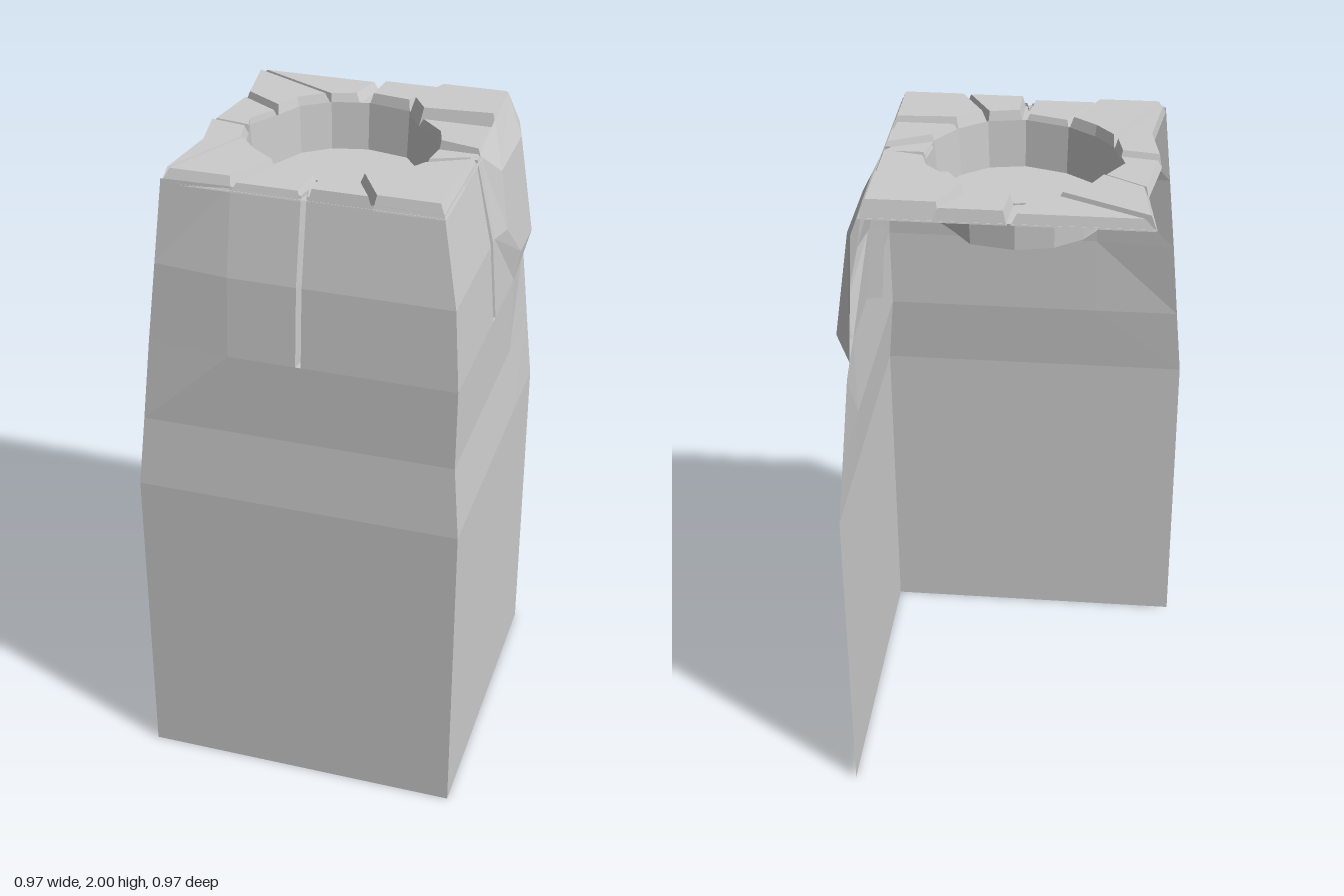
import * as THREE from 'three';

const material = new THREE.MeshStandardMaterial({ color: 0xcccccc, flatShading: true, side: THREE.DoubleSide });

// Mesh from a list of polygons, each cut into a fan of triangles
function facets(name, polygons) {
  const pos = [];
  for (const p of polygons) {
    for (let i = 1; i < p.length - 1; i++) pos.push(...p[0], ...p[i], ...p[i + 1]);
  }
  const g = new THREE.BufferGeometry();
  g.setAttribute('position', new THREE.Float32BufferAttribute(pos, 3));
  g.computeVertexNormals();
  const mesh = new THREE.Mesh(g, material);
  mesh.name = name;
  return mesh;
}

// Quads between neighbouring rows of points
function gridQuads(rows) {
  const quads = [];
  for (let j = 0; j < rows.length - 1; j++) {
    for (let i = 0; i < rows[j].length - 1; i++) {
      quads.push([rows[j][i], rows[j][i + 1], rows[j + 1][i + 1], rows[j + 1][i]]);
    }
  }
  return quads;
}

// Closed band of quads between two loops
const band = (a, b) => a.map((p, i) => {
  const k = (i + 1) % a.length;
  return [p, a[k], b[k], b[i]];
});

// Wall profile: height, distance of the wall face, distance at the free edge, groove depth
const PROFILE = [
  [0, 0.485, 0.485, 0], [1, 0.485, 0.485, 0], [1.22, 0.464, 0.466, 0], [1.47, 0.466, 0.445, 0],
  [1.47, 0.466, 0.445, 0.045], [1.71, 0.448, 0.423, 0.045], [1.96, 0.395, 0.4, 0.045],
];

function frontWall() {
  const rows = PROFILE.map(([y, d, e, cut]) => [
    [-e, y, e], [-0.2, y, d], [0, y, d], [0.007, y, d - cut], [0.016, y, d], [0.22, y, d], [d, y, d],
  ]);
  return facets('frontWall', gridQuads(rows));
}

function rightWall() {
  // Front half, full height, with the groove
  const near = PROFILE.map(([y, d, , cut]) => {
    const w = y > 1.9 ? 0.006 : 0.014;
    return [[d, y, d], [d, y, 0.22], [d, y, 0.037 + w], [d - cut, y, 0.037], [d, y, 0.037 - w], [d, y, 0]];
  });
  // Back half, up to the bulging stone
  const far = PROFILE.slice(0, 4).map(([y, d, e]) => [[d, y, 0], [d, y, -0.22], [e, y, -e]]);
  return facets('rightWall', [...gridQuads(near), ...gridQuads(far)]);
}

// Bulging stone that fills the upper back part of the right wall
function bulge() {
  const [a, b, c, d, e, f, g] = [
    [0.448, 1.71, 0], [0.466, 1.47, -0.22], [0.44, 1.51, -0.42], [0.42, 1.9, -0.41],
    [0.385, 2, -0.385], [0.39, 1.99, -0.2], [0.395, 1.96, 0],
  ];
  const [A, B, C, D, E] = [
    [0.465, 1.7, -0.09], [0.483, 1.57, -0.22], [0.483, 1.57, -0.37], [0.44, 1.88, -0.35], [0.44, 1.88, -0.09],
  ];
  return facets('bulgingStone', [
    [a, b, B, A], [b, c, C, B], [c, d, D, C], [d, e, D], [e, f, E, D], [f, g, E], [g, a, A, E],
    [A, B, C, D, E],
    [[0.466, 1.47, 0], b, a], [b, [0.445, 1.47, -0.445], c],
  ]);
}

// Plan outline [x, z] of the round basin
const BASIN = [
  [-0.12, -0.26], [-0.01, -0.285], [0.12, -0.26], [0.18, -0.18], [0.25, -0.1], [0.275, -0.02],
  [0.26, 0.11], [0.2, 0.2], [0.12, 0.26], [0.01, 0.28], [-0.12, 0.24], [-0.2, 0.18],
  [-0.26, 0.11], [-0.28, 0.02], [-0.295, -0.03], [-0.24, -0.12], [-0.2, -0.2],
];

function basin() {
  const top = BASIN.map(([x, z]) => [x, 1.955, z]);
  const floor = BASIN.map(([x, z]) => [x * 0.97, 1.81, z * 0.97]);
  return facets('basin', [...band(top, floor), [...floor].reverse()]);
}

// Flat ring under the stones
function rimBase() {
  const toVec = ([x, z]) => new THREE.Vector2(x, -z);
  const outline = [[-0.4, -0.4], [0.4, -0.4], [0.4, 0.4], [-0.4, 0.4], [-0.37, 0.16], [-0.4, 0], [-0.37, -0.2]];
  const shape = new THREE.Shape(outline.map(toVec));
  shape.holes.push(new THREE.Path(BASIN.map(toVec)));
  const g = new THREE.ShapeGeometry(shape);
  g.rotateX(-Math.PI / 2).translate(0, 1.95, 0);
  const mesh = new THREE.Mesh(g, material);
  mesh.name = 'rimBase';
  return mesh;
}

// Bevelled rim stone from its plan outline
function stone(name, height, plan) {
  const pts = [...plan].reverse();
  const cx = pts.reduce((s, p) => s + p[0], 0) / pts.length;
  const cz = pts.reduce((s, p) => s + p[1], 0) / pts.length;
  const low = pts.map(([x, z]) => [x, 1.945, z]);
  const high = pts.map(([x, z]) => [x + (cx - x) * 0.13, height, z + (cz - z) * 0.13]);
  const caps = high.map((p, i) => [[cx, height, cz], p, high[(i + 1) % high.length]]);
  return facets(name, [...band(low, high), ...caps]);
}

const STONES = [
  ['backLeftStone', 1.978, [[-0.4, -0.4], [-0.01, -0.4], [-0.04, -0.29], [-0.12, -0.26]]],
  ['backStone', 1.985, [[0, -0.4], [0.2, -0.4], [0.12, -0.265], [-0.01, -0.285]]],
  ['backRightStone', 2, [[0.18, -0.4], [0.4, -0.4], [0.4, -0.2], [0.17, -0.18], [0.12, -0.26]]],
  ['rightStoneA', 1.975, [[0.17, -0.18], [0.4, -0.18], [0.4, 0], [0.27, -0.03], [0.25, -0.1]]],
  ['rightStoneB', 1.965, [[0.27, 0], [0.4, 0], [0.38, 0.03], [0.26, 0.08]]],
  ['rightStoneC', 1.972, [[0.26, 0.11], [0.4, 0.04], [0.39, 0.2], [0.2, 0.2]]],
  ['frontRightStone', 1.987, [[0.2, 0.2], [0.4, 0.19], [0.4, 0.4], [0.2, 0.4], [0.12, 0.26]]],
  ['frontStoneA', 1.983, [[0.02, 0.28], [0.12, 0.26], [0.2, 0.4], [0.02, 0.4]]],
  ['frontStoneB', 1.972, [[-0.12, 0.24], [0.01, 0.28], [0, 0.4], [-0.2, 0.4]]],
  ['frontLeftStone', 1.986, [[-0.26, 0.11], [-0.2, 0.18], [-0.12, 0.24], [-0.2, 0.4], [-0.4, 0.4]]],
  ['leftStoneA', 1.98, [[-0.28, 0.02], [-0.26, 0.11], [-0.4, 0.4], [-0.37, 0.16], [-0.4, 0]]],
  ['leftStoneB', 1.972, [[-0.37, -0.2], [-0.24, -0.12], [-0.295, -0.03], [-0.28, 0.02], [-0.4, 0]]],
  ['leftStoneC', 1.982, [[-0.4, -0.4], [-0.12, -0.26], [-0.2, -0.2], [-0.24, -0.12], [-0.37, -0.2]]],
];

export function createModel() {
  const model = new THREE.Group();
  model.name = 'stonePillar';
  const rim = new THREE.Group();
  rim.name = 'rim';
  rim.add(rimBase(), ...STONES.map((s) => stone(...s)));
  model.add(frontWall(), rightWall(), bulge(), basin(), rim);
  return model;
}
